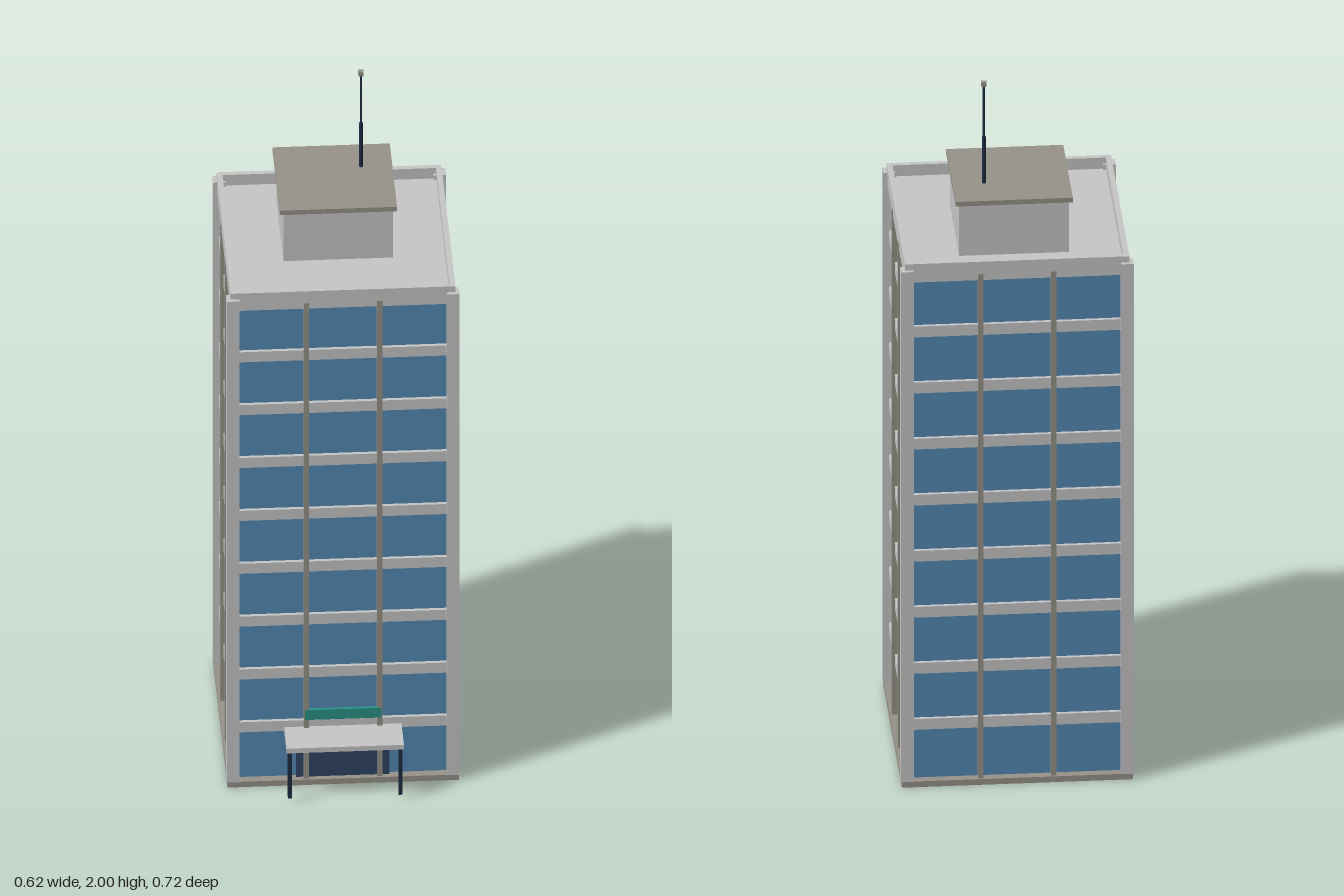
import * as THREE from 'three';

const mat = (name, color) => {
  const m = new THREE.MeshStandardMaterial({ color });
  m.name = name;
  return m;
};

export function createModel() {
  const concrete = mat('pale concrete', 0xc8c8c8);
  const taupe = mat('taupe metal', 0x98948a);
  const glass = mat('blue glass', 0x558bb5);
  const doorBlue = mat('dark door glass', 0x304466);
  const steel = mat('dark steel', 0x1f2c42);
  const teal = mat('teal sign', 0x2a9488);

  const model = new THREE.Group();
  model.name = 'officeTower';
  const tower = new THREE.Group();
  tower.name = 'tower';
  tower.position.z = -0.047;
  model.add(tower);

  // Box given by width, depth, bottom and top heights, and plan position
  const box = (parent, name, material, w, d, y0, y1, x = 0, z = 0) => {
    const mesh = new THREE.Mesh(new THREE.BoxGeometry(w, y1 - y0, d), material);
    mesh.name = name;
    mesh.position.set(x, (y0 + y1) / 2, z);
    parent.add(mesh);
    return mesh;
  };

  // Plinth, glazed body and floor bands
  box(tower, 'plinth', taupe, 0.62, 0.62, 0, 0.017);
  box(tower, 'glassBody', glass, 0.572, 0.572, 0.017, 1.508);
  for (let i = 0; i < 8; i++) {
    const y = 0.181 + i * 0.168;
    box(tower, 'floorBand', concrete, 0.592, 0.592, y - 0.016, y + 0.016);
  }

  // Corner columns
  for (const x of [-1, 1]) for (const z of [-1, 1]) {
    box(tower, 'cornerColumn', concrete, 0.034, 0.034, 0.017, 1.545, x * 0.295, z * 0.295);
  }

  // Roof slab and parapet
  box(tower, 'roofSlab', concrete, 0.58, 0.58, 1.508, 1.53);
  for (const s of [-1, 1]) {
    box(tower, 'parapetLong', concrete, 0.602, 0.015, 1.508, 1.563, 0, s * 0.2935);
    box(tower, 'parapetSide', concrete, 0.015, 0.572, 1.508, 1.563, s * 0.2935, 0);
  }

  // Two vertical mullions on each face
  for (let k = 0; k < 4; k++) {
    const face = new THREE.Group();
    face.name = 'faceMullions';
    face.rotation.y = k * Math.PI / 2;
    for (const s of [-1, 1]) {
      box(face, 'mullion', taupe, 0.014, 0.02, 0.017, 1.527, s * 0.098, 0.294);
    }
    tower.add(face);
  }

  // Rooftop plant room and its cap
  box(model, 'plantRoom', concrete, 0.294, 0.294, 1.53, 1.685, 0, -0.097);
  box(model, 'plantRoomCap', taupe, 0.314, 0.314, 1.683, 1.697, 0, -0.097);

  // Antenna in two steps with a small tip
  const rod = (name, r, y0, y1) => {
    const mesh = new THREE.Mesh(new THREE.CylinderGeometry(r, r, y1 - y0, 8), steel);
    mesh.name = name;
    mesh.position.set(0.073, (y0 + y1) / 2, -0.146);
    model.add(mesh);
  };
  rod('antennaLower', 0.0055, 1.697, 1.835);
  rod('antennaUpper', 0.003, 1.835, 1.988);
  box(model, 'antennaTip', taupe, 0.014, 0.014, 1.987, 2, 0.073, -0.146);

  // Entrance door, canopy with posts, and sign panel
  box(model, 'entranceDoor', doorBlue, 0.25, 0.009, 0.017, 0.146, 0, 0.2435);
  box(model, 'canopy', concrete, 0.314, 0.115, 0.162, 0.177, 0, 0.2985);
  for (const s of [-1, 1]) {
    box(model, 'canopyPost', steel, 0.011, 0.011, 0.017, 0.162, s * 0.148, 0.348);
  }
  box(model, 'signPanel', teal, 0.205, 0.009, 0.203, 0.234, 0, 0.2535);

  return model;
}
